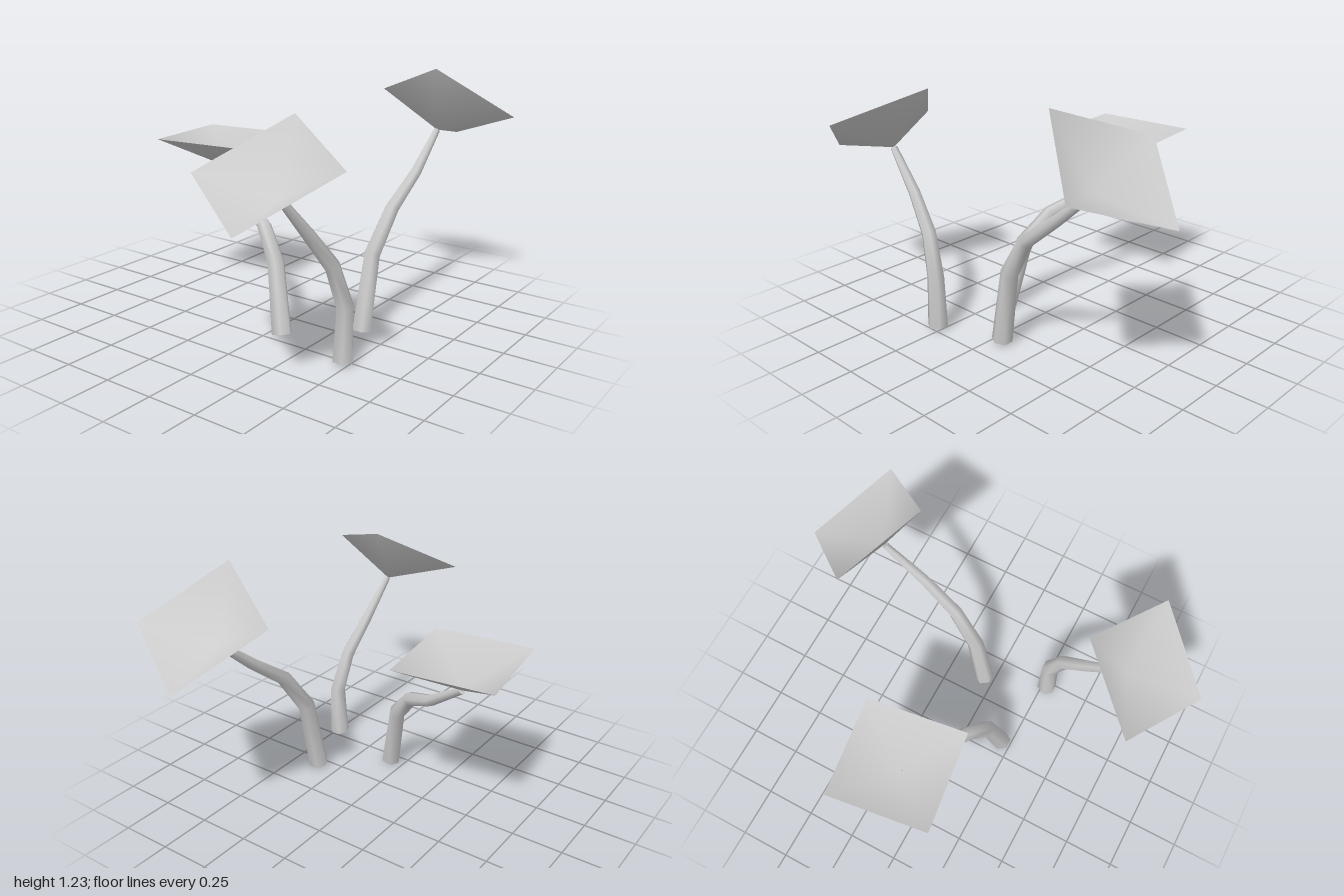
import * as THREE from 'three';

const SIDES = 6;
const RADII = [0.05, 0.042, 0.036, 0.029, 0.018];
const CAP_DEPTH = 0.155;
const vec = (a) => new THREE.Vector3(...a);

const bark = new THREE.MeshStandardMaterial({ color: 0xcccccc });
const sheet = new THREE.MeshStandardMaterial({ color: 0xcccccc, side: THREE.DoubleSide });

function makeMesh(name, positions, index, material) {
  const geometry = new THREE.BufferGeometry();
  geometry.setAttribute('position', new THREE.Float32BufferAttribute(positions, 3));
  geometry.setIndex(index);
  geometry.computeVertexNormals();
  const mesh = new THREE.Mesh(geometry, material);
  mesh.name = name;
  return mesh;
}

// Tapered stem: mitred rings along a bent centre line, closed at both ends
function makeStem(points) {
  const p = points.map(vec);
  const last = p.length - 1;
  const positions = [];
  const index = [];
  const normal = new THREE.Vector3(1, 0, 0);
  const addRing = (centre, radius, n, b) => {
    for (let j = 0; j < SIDES; j++) {
      const a = ((j + 0.5) / SIDES) * Math.PI * 2;
      const v = centre.clone()
        .addScaledVector(n, Math.cos(a) * radius)
        .addScaledVector(b, Math.sin(a) * radius);
      positions.push(v.x, v.y, v.z);
    }
  };
  p.forEach((c, i) => {
    const before = c.clone().sub(p[Math.max(i - 1, 0)]).normalize();
    const after = p[Math.min(i + 1, last)].clone().sub(c).normalize();
    const tangent = before.add(after).normalize();
    normal.addScaledVector(tangent, -normal.dot(tangent)).normalize();
    const binormal = tangent.clone().cross(normal);
    // end rings are doubled so the end faces keep a crisp edge
    if (i === 0) {
      addRing(c, 0, normal, binormal);
      addRing(c, RADII[i], normal, binormal);
    }
    addRing(c, RADII[i], normal, binormal);
    if (i === last) {
      addRing(c, RADII[i], normal, binormal);
      addRing(c, 0, normal, binormal);
    }
  });
  const rings = positions.length / 3 / SIDES;
  for (let i = 0; i < rings - 1; i++) {
    for (let j = 0; j < SIDES; j++) {
      const k = (j + 1) % SIDES;
      const a = i * SIDES + j, b = i * SIDES + k;
      index.push(a, b, a + SIDES, b, b + SIDES, a + SIDES);
    }
  }
  return makeMesh('stem', positions, index, bark);
}

// Hollow four-sided cap: square rim given by a corner and its two neighbours
function makeCap(corner, next, previous) {
  const [a, b, d] = [corner, next, previous].map(vec);
  const c = b.clone().add(d).sub(a);
  const down = b.clone().sub(a).cross(d.clone().sub(a)).normalize();
  const apex = b.clone().add(d).multiplyScalar(0.5).addScaledVector(down, CAP_DEPTH);
  const positions = [apex, a, b, c, d].flatMap((v) => v.toArray());
  return makeMesh('cap', positions, [0, 1, 2, 0, 2, 3, 0, 3, 4, 0, 4, 1], sheet);
}

const PLANTS = [
  {
    name: 'rightMushroom',
    stem: [[-0.275, 0.015, 0.47], [-0.27, 0.27, 0.475], [-0.335, 0.47, 0.45], [-0.465, 0.635, 0.42], [-0.63, 0.82, 0.4]],
    cap: [[-0.775, 0.91, 0.06], [-0.44, 1.13, 0.33], [-1, 0.77, 0.46]],
  },
  {
    name: 'backMushroom',
    stem: [[-0.2, 0.01, 0.075], [-0.145, 0.34, 0], [-0.08, 0.48, -0.12], [0, 0.555, -0.28], [0.06, 0.695, -0.48]],
    cap: [[-0.205, 0.855, -0.69], [0.275, 0.848, -0.755], [-0.145, 0.857, -0.215]],
  },
  {
    name: 'leftMushroom',
    stem: [[0.055, 0.015, 0.36], [0.12, 0.38, 0.37], [0.25, 0.58, 0.395], [0.43, 0.72, 0.415], [0.635, 0.895, 0.413]],
    cap: [[0.675, 1.07, 0.08], [1, 0.82, 0.345], [0.465, 1.225, 0.485]],
  },
];

export function createModel() {
  const model = new THREE.Group();
  model.name = 'mushroomCluster';
  for (const { name, stem, cap } of PLANTS) {
    const plant = new THREE.Group();
    plant.name = name;
    plant.add(makeStem(stem), makeCap(...cap));
    model.add(plant);
  }
  return model;
}
